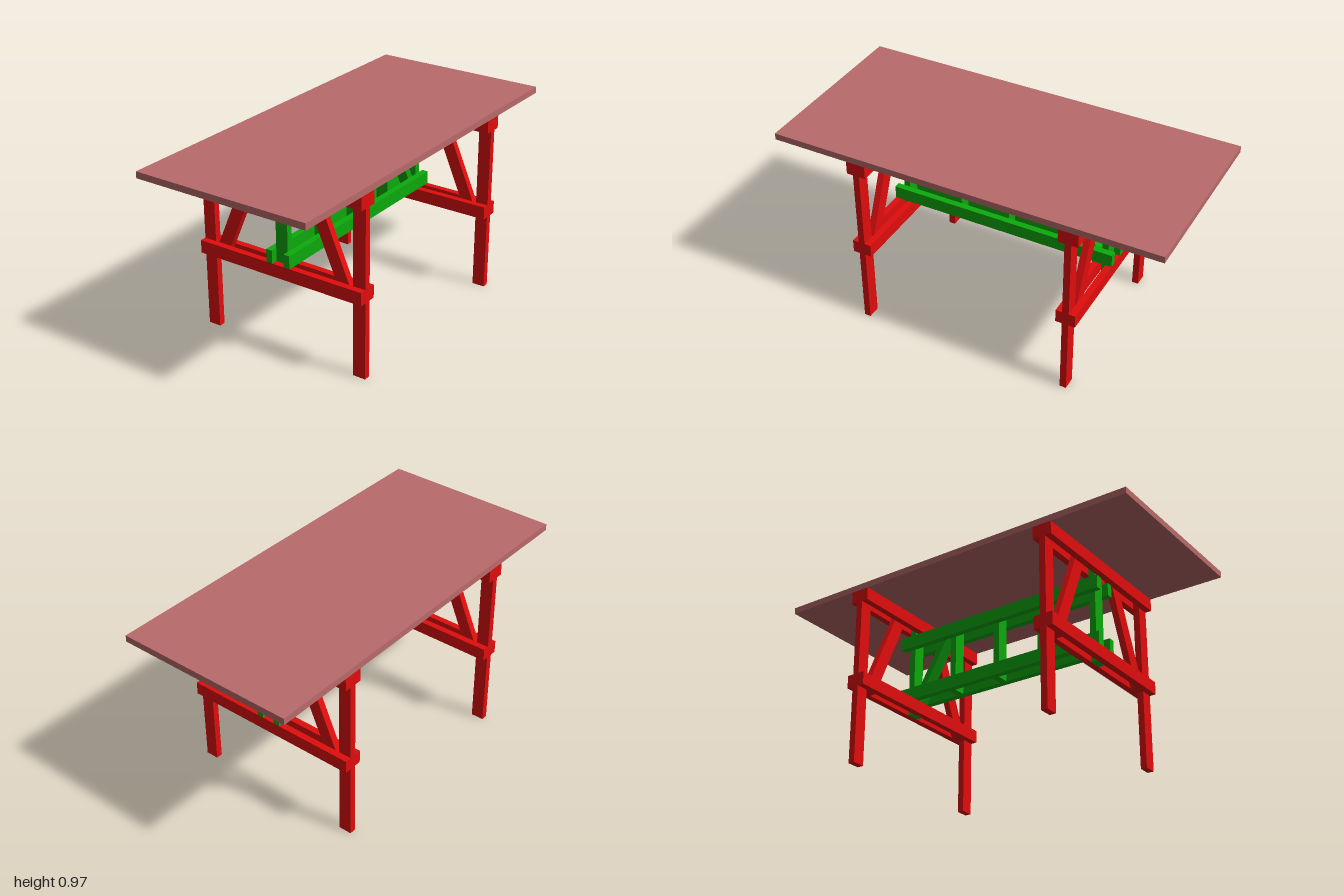
import * as THREE from 'three';

const U = 1 / 30; // one board thickness
const red = new THREE.MeshStandardMaterial({ color: 0xe00d0d });
const green = new THREE.MeshStandardMaterial({ color: 0x0daa0d });
const pink = new THREE.MeshStandardMaterial({ color: 0xb96a6a });

// Box given by its centre in x and z, its lowest y and its size
function board(parent, name, material, [w, h, d], [x, y, z]) {
  const mesh = new THREE.Mesh(new THREE.BoxGeometry(w, h, d), material);
  mesh.position.set(x, y + h / 2, z);
  mesh.name = name;
  parent.add(mesh);
}

// Sloping board with level ends, running from (a, y0) to (b, y1)
function slopedBoard(a, y0, b, y1, width, depth) {
  const h = width / 2;
  const shape = new THREE.Shape([
    new THREE.Vector2(a - h, y0), new THREE.Vector2(a + h, y0),
    new THREE.Vector2(b + h, y1), new THREE.Vector2(b - h, y1),
  ]);
  return new THREE.ExtrudeGeometry(shape, { depth, bevelEnabled: false })
    .translate(0, 0, -depth / 2);
}

// Leg frame: two legs clamped between paired rails, with sloping braces
function trestle(z) {
  const frame = new THREE.Group();
  frame.name = z > 0 ? 'frontTrestle' : 'backTrestle';
  frame.position.z = z;
  for (const side of [-1, 1]) {
    board(frame, 'leg', red, [2 * U, 28 * U, U], [side * 13 * U, 0, 0]);
    const brace = new THREE.Mesh(
      slopedBoard(side * 0.371, 12 * U, side * 0.141, 28 * U, 0.0725, U), red);
    brace.name = 'brace';
    frame.add(brace);
    for (const y of [12 * U, 26 * U])
      board(frame, y < 0.5 ? 'lowerRail' : 'upperRail', red,
        [28 * U, 2 * U, U], [0, y, side * U]);
  }
  // Centre post that carries the stretcher
  board(frame, 'centrePost', green, [2 * U, 16 * U, U], [0, 12 * U, 0]);
  return frame;
}

// Long truss linking the two trestles
function stretcher() {
  const truss = new THREE.Group();
  truss.name = 'stretcher';
  for (const side of [-1, 1])
    for (const y of [14 * U, 23 * U])
      board(truss, 'beam', green, [U, 2 * U, 36 * U], [side * 1.5 * U, y, 0]);
  for (const z of [0.25, -0.015, -0.283])
    board(truss, 'upright', green, [2 * U, 11 * U, U], [0, 14 * U, z]);
  const strut = new THREE.Mesh(
    slopedBoard(-0.518, 14 * U, -0.314, 25 * U, 0.038, 2 * U).rotateY(-Math.PI / 2), green);
  strut.name = 'diagonalStrut';
  truss.add(strut);
  return truss;
}

export function createModel() {
  const table = new THREE.Group();
  table.name = 'table';
  board(table, 'tableTop', pink, [28 * U, U, 60 * U], [0, 28 * U, 0]);
  table.add(trestle(0.55), trestle(-0.55), stretcher());
  return table;
}
